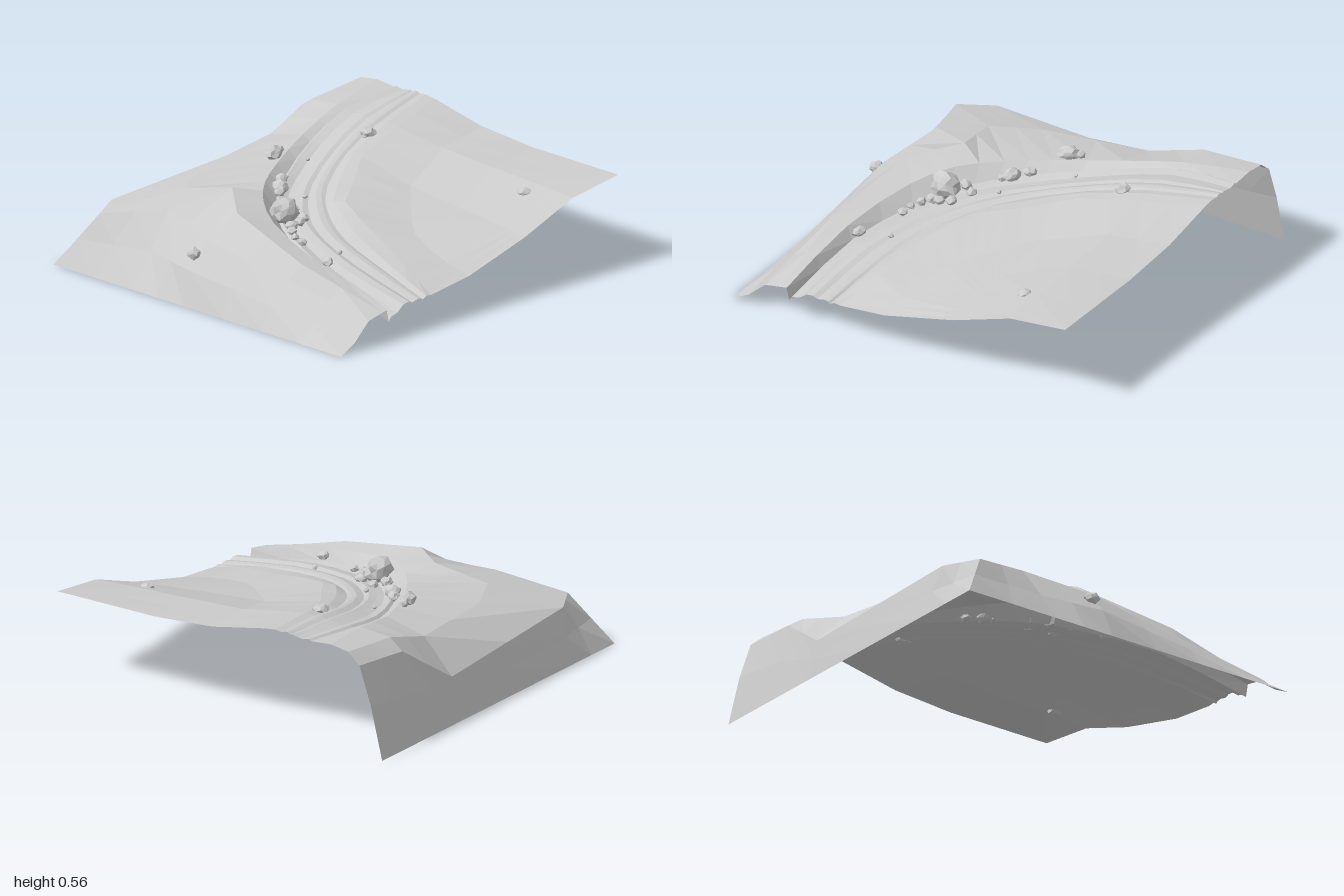
import * as THREE from 'three';

const STEP = 2; // samples between neighbouring control stations

// A contour that follows the trail from the back edge to the right edge.
function contour(xs, ys, zs, smooth = true) {
  const pts = xs.map((x, i) => new THREE.Vector3(x, ys[i], zs[i]));
  const curve = new THREE.CatmullRomCurve3(pts, false, 'centripetal');
  const out = [];
  const n = (pts.length - 1) * STEP;
  for (let k = 0; k <= n; k++) {
    const i = Math.min(Math.floor(k / STEP), pts.length - 2);
    out.push(smooth ? curve.getPoint(k / n) : pts[i].clone().lerp(pts[i + 1], k / STEP - i));
  }
  return out;
}

// Extra contours between two others, raised or lowered into ruts that deepen along the trail.
function ruts(a, b, offsets) {
  return offsets.map(([t, dy]) => a.map((p, i) => {
    const q = p.clone().lerp(b[i], t);
    q.y += dy * Math.min(1, 0.6 + i / a.length);
    return q;
  }));
}

// Skin neighbouring contours with triangles.
function loft(lines) {
  const n = lines[0].length;
  const pos = [], idx = [];
  lines.forEach(l => l.forEach(p => pos.push(p.x, p.y, p.z)));
  for (let j = 0; j < lines.length - 1; j++) {
    for (let i = 0; i < n - 1; i++) {
      const a = j * n + i, b = a + 1, c = a + n, d = c + 1;
      idx.push(a, b, c, b, d, c);
    }
  }
  const g = new THREE.BufferGeometry();
  g.setAttribute('position', new THREE.Float32BufferAttribute(pos, 3));
  g.setIndex(idx);
  const flat = g.toNonIndexed();
  flat.computeVertexNormals();
  return flat;
}

function terrainGeometry() {
  // outer skirt and crest
  const base = contour([-1, -1, -1, -1, -1, -0.45, -0.1, 0.45, 1], Array(9).fill(0),
    [-1, -0.65, -0.33, 0.6, 1, 1, 1, 1, 1], false);
  const skirt = contour([-0.93, -0.94, -0.975, -0.96, -0.91, -0.45, -0.11, 0.45, 1],
    [0.28, 0.24, 0.12, 0.14, 0.14, 0.175, 0.165, 0.11, 0.05],
    [-1, -0.655, -0.33, 0.635, 0.925, 0.87, 0.93, 0.92, 0.9], false);
  const rim = contour([-0.86, -0.88, -0.95, -0.92, -0.82, -0.46, -0.11, 0.45, 1],
    [0.48, 0.455, 0.23, 0.28, 0.28, 0.36, 0.3, 0.22, 0.14],
    [-1, -0.66, -0.33, 0.67, 0.85, 0.73, 0.82, 0.81, 0.8], false);
  const shoulder = contour([-0.79, -0.8, -0.78, -0.7, -0.58, -0.29, -0.06, 0.47, 1],
    [0.54, 0.51, 0.41, 0.385, 0.385, 0.445, 0.415, 0.3, 0.16],
    [-1, -0.65, -0.33, 0.25, 0.5, 0.45, 0.65, 0.74, 0.7], false);
  const bank = contour([-0.68, -0.62, -0.55, -0.41, -0.29, -0.12, 0.08, 0.49, 1],
    [0.555, 0.525, 0.465, 0.43, 0.415, 0.405, 0.365, 0.285, 0.165],
    [-1, -0.65, -0.33, 0, 0.21, 0.4, 0.53, 0.64, 0.67]);
  // sunken trail
  const trailOuter = contour([-0.56, -0.57, -0.5, -0.35, -0.22, -0.05, 0.14, 0.5, 1],
    [0.545, 0.51, 0.44, 0.38, 0.345, 0.315, 0.28, 0.22, 0.1],
    [-1, -0.65, -0.33, 0, 0.2, 0.37, 0.48, 0.605, 0.655]);
  const trailMiddle = contour([-0.47, -0.46, -0.38, -0.24, -0.12, 0.05, 0.25, 0.55, 1],
    [0.55, 0.515, 0.445, 0.37, 0.34, 0.31, 0.28, 0.24, 0.165],
    [-1, -0.65, -0.33, 0, 0.18, 0.34, 0.43, 0.52, 0.55]);
  const trailInner = contour([-0.4, -0.33, -0.26, -0.12, 0, 0.15, 0.32, 0.6, 1],
    [0.56, 0.515, 0.45, 0.38, 0.35, 0.32, 0.29, 0.245, 0.165],
    [-1, -0.62, -0.33, -0.03, 0.1, 0.22, 0.31, 0.37, 0.42]);
  const innerBank = contour([-0.28, -0.2, -0.14, 0.02, 0.12, 0.3, 0.54, 0.75, 1],
    [0.55, 0.51, 0.45, 0.395, 0.372, 0.337, 0.282, 0.24, 0.165],
    [-1, -0.65, -0.33, -0.1, 0.06, 0.13, 0.2, 0.28, 0.35], false);
  // inner meadow, closing on the far corner
  const meadow = contour([0.05, 0.1, 0.2, 0.35, 0.45, 0.55, 0.7, 0.85, 1],
    [0.485, 0.465, 0.375, 0.34, 0.315, 0.29, 0.26, 0.23, 0.195],
    [-1, -0.67, -0.33, -0.18, -0.08, 0, 0.05, 0.08, 0.08], false);
  const upperMeadow = contour([0.4, 0.45, 0.55, 0.65, 0.7, 0.76, 0.83, 0.91, 1],
    [0.46, 0.447, 0.345, 0.335, 0.33, 0.325, 0.318, 0.31, 0.3],
    [-1, -0.67, -0.33, -0.33, -0.33, -0.33, -0.33, -0.33, -0.33], false);
  const plateau = contour([0.7, 0.75, 0.79, 0.82, 0.85, 0.88, 0.92, 0.96, 1],
    [0.46, 0.435, 0.433, 0.431, 0.429, 0.427, 0.425, 0.422, 0.42],
    [-1, -0.67, -0.67, -0.67, -0.67, -0.67, -0.67, -0.67, -0.67], false);
  const corner = base.map(() => new THREE.Vector3(1, 0.46, -1));

  return loft([
    base, skirt, rim, shoulder, bank, trailOuter,
    ...ruts(trailOuter, trailMiddle, [[0.15, 0.012], [0.3, 0.006], [0.6, -0.006]]), trailMiddle,
    ...ruts(trailMiddle, trailInner, [[0.3, 0.005], [0.5, -0.006], [0.8, 0.004]]), trailInner,
    ...ruts(trailInner, innerBank, [[0.15, -0.01], [0.5, 0.004]]), innerBank,
    meadow, upperMeadow, plateau, corner,
  ]);
}

// Faceted stone whose corners are pushed in and out by a seeded rule.
function stoneGeometry(seed, detail) {
  const g = new THREE.IcosahedronGeometry(1, detail);
  const p = g.attributes.position;
  const v = new THREE.Vector3();
  for (let i = 0; i < p.count; i++) {
    v.fromBufferAttribute(p, i);
    const k = 0.92 + 0.17 * Math.sin(v.x * 5.1 + seed * 2.3) * Math.cos(v.y * 4.3 + v.z * 3.7 + seed);
    p.setXYZ(i, v.x * k, v.y * k, v.z * k);
  }
  g.computeVertexNormals();
  return g;
}

export function createModel() {
  const group = new THREE.Group();
  const ground = new THREE.MeshStandardMaterial({ color: 0xcccccc, flatShading: true, side: THREE.DoubleSide });
  const stone = new THREE.MeshStandardMaterial({ color: 0xcccccc, flatShading: true });

  const hill = new THREE.Mesh(terrainGeometry(), ground);
  hill.name = 'hillsideWithTrail';
  group.add(hill);

  const add = (name, seed, x, y, z, rx, ry, rz, turn = 0) => {
    const m = new THREE.Mesh(stoneGeometry(seed, rx > 0.03 ? 1 : 0), stone);
    m.name = name;
    m.position.set(x, y, z);
    m.scale.set(rx, ry, rz);
    m.rotation.y = turn;
    group.add(m);
  };

  // large boulder in the bend and scattered field stones
  add('boulder', 1, 0, 0.37, 0.37, 0.068, 0.074, 0.085);
  add('fieldStone', 2, -0.27, 0.495, -0.51, 0.045, 0.032, 0.042);
  add('fieldStone', 3, 0.74, 0.41, -0.59, 0.038, 0.026, 0.038);
  add('fieldStone', 4, -0.14, 0.24, 0.88, 0.044, 0.036, 0.034);
  add('fieldStone', 5, -0.48, 0.455, -0.05, 0.045, 0.038, 0.06, 0.5);
  add('fieldStone', 6, -0.5, 0.455, -0.11, 0.025, 0.022, 0.025);
  add('fieldStone', 7, 0.49, 0.275, 0.57, 0.042, 0.027, 0.03, -0.4);

  // small stones gathered along the trail
  const pebbles = [
    [-0.31, 0.39, 0.07, 0.034], [-0.25, 0.38, 0.14, 0.046], [-0.22, 0.365, 0.18, 0.028],
    [-0.09, 0.345, 0.31, 0.032], [-0.05, 0.34, 0.25, 0.03], [0.06, 0.33, 0.3, 0.032],
    [0.09, 0.33, 0.35, 0.03], [0.08, 0.32, 0.4, 0.032], [0.12, 0.31, 0.44, 0.028],
    [0.17, 0.3, 0.47, 0.024], [0.23, 0.29, 0.48, 0.029], [-0.1, 0.36, 0.12, 0.016],
    [-0.36, 0.42, -0.17, 0.012], [0.43, 0.27, 0.42, 0.016],
  ];
  pebbles.forEach(([x, y, z, r], i) => add('trailStone', i + 8, x, y, z, r, r * 0.85, r * 1.1, i));

  return group;
}
